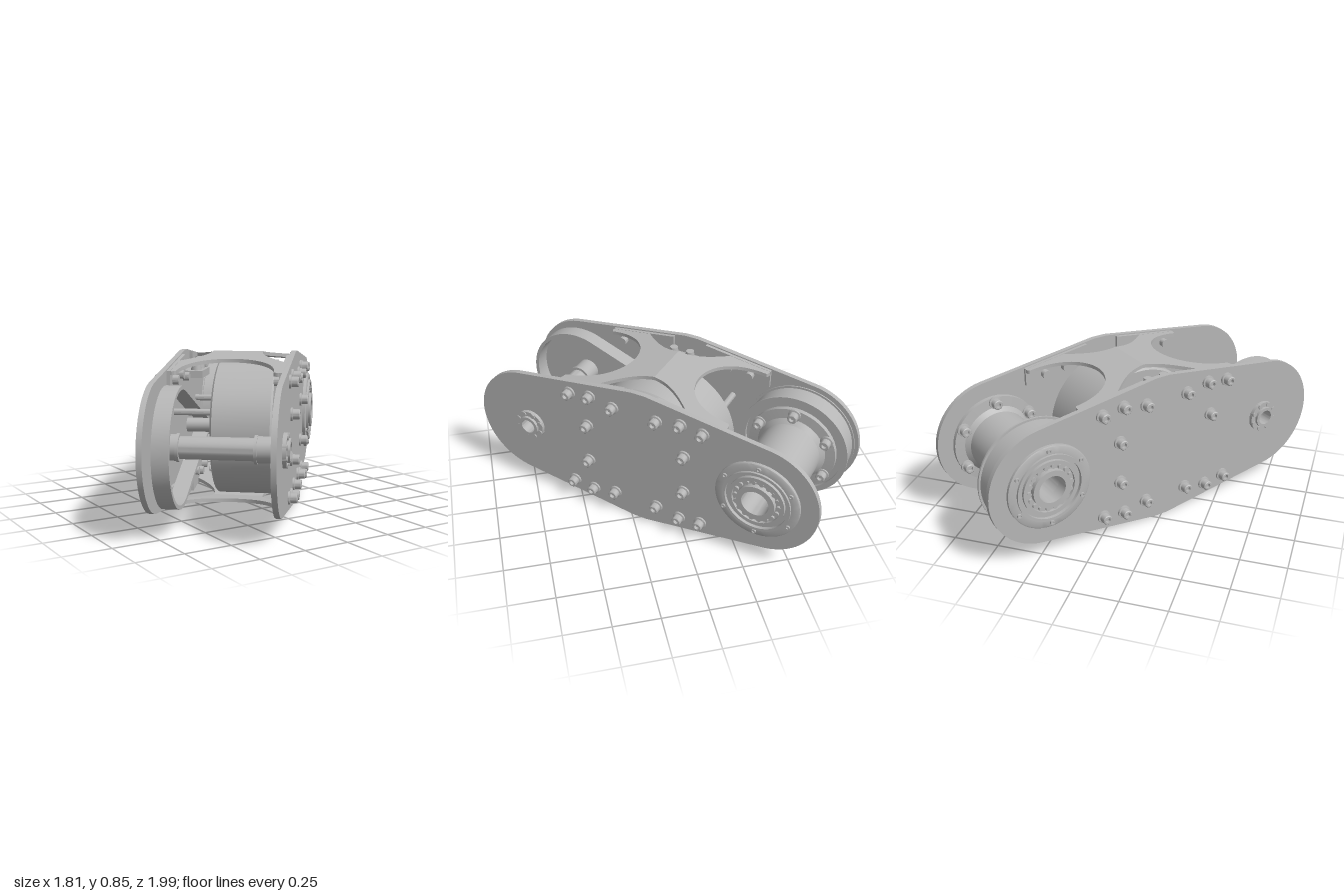
import * as THREE from 'three';
import { toCreasedNormals } from 'three/addons/utils/BufferGeometryUtils.js';

// Local frame: x runs along the arm, y is up from mid height, z runs across it.
const MID = 0.425, AXLE = 0.694, OUT = 0.325, THICK = 0.028;

export function createModel() {
  const metal = new THREE.MeshStandardMaterial({ color: 0xb6b6b6 });
  metal.name = 'satin grey metal';

  const add = (parent, name, geo, x = 0, y = 0, z = 0) => {
    const m = new THREE.Mesh(geo, metal);
    m.name = name;
    m.position.set(x, y, z);
    parent.add(m);
    return m;
  };
  // Turned part around the z axis; profile of [radius, z], counterclockwise
  const turned = (pts, seg = 48) => toCreasedNormals(
    new THREE.LatheGeometry(pts.map(p => new THREE.Vector2(...p)), seg).rotateX(Math.PI / 2), 0.6);
  const tube = (r0, r1, z0, z1, seg) =>
    turned([[r0, z0], [r1, z0], [r1, z1], [r0, z1], [r0, z0]], seg);
  const rod = (r, z0, z1, seg = 20) => turned([[0, z0], [r, z0], [r, z1], [0, z1]], seg);
  const extrude = (shape, depth) => toCreasedNormals(
    new THREE.ExtrudeGeometry(shape, { depth, bevelEnabled: false, curveSegments: 32 }), 0.5);
  const around = (n, r, start, fn) => {
    for (let i = 0; i < n; i++) {
      const a = start + i * Math.PI * 2 / n;
      fn(Math.cos(a) * r, Math.sin(a) * r);
    }
  };

  const body = new THREE.Group();
  body.name = 'arm';
  body.position.y = MID;
  body.rotation.y = THREE.MathUtils.degToRad(50);

  // Side plate outline: shallow peak in the middle, round ends
  const outline = new THREE.Shape();
  const a = THREE.MathUtils.degToRad(82);
  outline.moveTo(-0.04, -MID);
  outline.lineTo(0.04, -MID);
  outline.absarc(AXLE, 0, 0.33, -a, a, false);
  outline.lineTo(0.04, MID);
  outline.lineTo(-0.04, MID);
  outline.absarc(-AXLE, 0, 0.33, Math.PI - a, Math.PI + a, false);
  const bore = (x, r) => outline.holes.push(new THREE.Path().absarc(x, 0, r, 0, Math.PI * 2, true));
  bore(AXLE, 0.15);
  bore(-AXLE, 0.05);
  const plateGeo = extrude(outline, THICK);

  // Socket-head bolt with washer
  const boltGeo = turned([[0, 0], [0.036, 0], [0.036, 0.01], [0.027, 0.012], [0.027, 0.044],
    [0.023, 0.048], [0.014, 0.048], [0.014, 0.03], [0, 0.03]], 18);
  const smallBoltGeo = turned([[0, 0], [0.013, 0], [0.013, 0.01], [0.007, 0.01], [0.007, 0.004], [0, 0.004]], 12);
  const nutGeo = rod(0.024, -0.05, 0, 16);
  const standoffGeo = rod(0.018, -0.2, 0, 16);

  // Axle bearing pieces
  const flangeGeo = turned([[0.155, 0], [0.233, 0], [0.233, 0.016], [0.226, 0.02], [0.188, 0.02],
    [0.188, 0.032], [0.172, 0.032], [0.172, 0.014], [0.155, 0.014], [0.155, 0]], 64);
  const outerRaceGeo = tube(0.134, 0.155, -THICK, 0.03);
  const innerRaceGeo = tube(0.075, 0.106, -THICK, 0.042);
  const cageGeo = tube(0.106, 0.134, -THICK, 0.014);
  const rollerGeo = rod(0.0125, 0, 0.026, 12);
  const hubGeo = turned([[0.042, -THICK], [0.05, -THICK], [0.05, 0], [0.088, 0], [0.088, 0.02],
    [0.06, 0.02], [0.06, 0.036], [0.042, 0.036], [0.042, -THICK]], 40);
  const notchGeo = rod(0.014, 0, 0.026, 12);

  // Bolting tab under each brace arm
  const tab = new THREE.Shape();
  tab.moveTo(0.1, 0.41);
  tab.lineTo(0.1, 0.33);
  tab.quadraticCurveTo(0.13, 0.26, 0.2, 0.275);
  tab.lineTo(0.49, 0.255);
  tab.lineTo(0.49, 0.355);
  tab.closePath();
  const tabGeo = extrude(tab, 0.018);

  for (const back of [false, true]) {
    const side = new THREE.Group();
    side.name = back ? 'backSide' : 'frontSide';
    if (back) side.rotation.x = Math.PI;
    body.add(side);
    add(side, 'sidePlate', plateGeo, 0, 0, OUT - THICK);

    // Bolt rows along the top and bottom, and four standoff bolts
    const bolt = (x, y, inner) => {
      add(side, 'bolt', boltGeo, x, y, OUT);
      add(side, inner === standoffGeo ? 'standoff' : 'nut', inner, x, y, OUT - THICK);
    };
    for (const sx of [-1, 1]) for (const sy of [-1, 1]) {
      for (const [x, y] of [[0.397, 0.303], [0.27, 0.318], [0.13, 0.292]]) bolt(sx * x - 0.022, sy * y, nutGeo);
      if (!(back && sx < 0 && sy > 0)) bolt(sx * 0.293 - 0.022, sy * 0.12, standoffGeo);
      const t = add(side, 'braceTab', tabGeo, 0, 0, OUT - THICK - (sx * sy > 0 ? 0.018 : 0));
      // Half turns keep the faces pointing outward
      if (sx > 0 && sy < 0) t.rotation.x = Math.PI;
      if (sx < 0 && sy > 0) t.rotation.y = Math.PI;
      if (sx < 0 && sy < 0) t.rotation.z = Math.PI;
    }

    // Large bearing
    const bearing = new THREE.Group();
    bearing.name = 'axleBearing';
    bearing.position.set(AXLE, 0, OUT);
    side.add(bearing);
    add(bearing, 'flange', flangeGeo);
    add(bearing, 'outerRace', outerRaceGeo);
    add(bearing, 'innerRace', innerRaceGeo);
    add(bearing, 'cage', cageGeo);
    around(18, 0.12, 0, (x, y) => add(bearing, 'roller', rollerGeo, x, y));
    around(6, 0.208, Math.PI / 2, (x, y) => add(bearing, 'flangeBolt', smallBoltGeo, x, y, 0.019));

    // Small shaft hub
    add(side, 'shaftHub', hubGeo, -AXLE, 0, OUT);
    around(8, 0.075, Math.PI / 8, (x, y) => add(side, 'hubBolt', notchGeo, x - AXLE, y, OUT));
  }

  // Hollow drum between the bearings, with bolted flanges
  add(body, 'drum', turned([[0.075, -0.3], [0.11, -0.3], [0.11, -0.17], [0.25, -0.17], [0.25, -0.145],
    [0.195, -0.14], [0.172, -0.115], [0.172, 0.225], [0.195, 0.25], [0.25, 0.255], [0.25, 0.28],
    [0.11, 0.28], [0.11, 0.3], [0.075, 0.3], [0.075, -0.3]], 56), AXLE);
  around(6, 0.222, Math.PI / 2, (x, y) => {
    add(body, 'drumBolt', boltGeo, AXLE + x, y, -0.145);
    add(body, 'drumBolt', boltGeo, AXLE + x, y, 0.255).rotation.y = Math.PI;
  });

  // Belt pulley with thin lips and a recessed face
  add(body, 'pulley', turned([[0.1, -0.285], [0.312, -0.285], [0.312, -0.278], [0.3, -0.278],
    [0.3, -0.172], [0.312, -0.172], [0.312, -0.162], [0.28, -0.162], [0.28, -0.18],
    [0.1, -0.18], [0.1, -0.285]], 64), AXLE);

  // Cross shaft with collars
  add(body, 'crossShaft', turned([[0.042, -0.3], [0.066, -0.3], [0.066, -0.2], [0.072, -0.2], [0.072, -0.185],
    [0.057, -0.185], [0.057, 0.185], [0.072, 0.185], [0.072, 0.2], [0.066, 0.2], [0.066, 0.3],
    [0.042, 0.3], [0.042, -0.3]], 40), -AXLE);

  // Tapered belt loop from the wide end to the motor pinion
  const loop = (Type, R, r) => {
    const p = new Type(), t = Math.acos((R - r) / AXLE);
    p.absarc(-AXLE, 0, R, t, Math.PI * 2 - t, false);
    p.absarc(0, 0, r, -t, t, false);
    p.closePath();
    return p;
  };
  const belt = loop(THREE.Shape, 0.305, 0.06);
  belt.holes.push(loop(THREE.Path, 0.285, 0.04));
  add(body, 'belt', extrude(belt, 0.085), 0, 0, -0.26);

  // Disc motor
  add(body, 'motor', turned([[0, -0.1], [0.365, -0.1], [0.375, -0.09], [0.375, 0.22], [0.365, 0.23], [0, 0.23]], 72));
  add(body, 'motorPinion', rod(0.04, -0.29, -0.1));

  // Cross-shaped brace: two flat halves tilted along the plate edges
  const half = new THREE.Shape();
  half.moveTo(0, -0.14);
  half.bezierCurveTo(0.1, -0.14, 0.17, -0.2, 0.27, -0.297);
  half.lineTo(0.475, -0.297);
  half.quadraticCurveTo(0.5, -0.275, 0.48, -0.25);
  half.bezierCurveTo(0.1, -0.25, 0.1, 0.25, 0.48, 0.25);
  half.quadraticCurveTo(0.5, 0.275, 0.475, 0.297);
  half.lineTo(0.27, 0.297);
  half.bezierCurveTo(0.17, 0.2, 0.1, 0.14, 0, 0.14);
  half.closePath();
  const braceGeo = extrude(half, 0.02).rotateX(Math.PI / 2);
  braceGeo.applyMatrix4(new THREE.Matrix4().set(1, 0, 0, 0, -0.139, 1, 0, 0, 0, 0, 1, 0, 0, 0, 0, 1));
  for (const under of [false, true]) {
    const brace = new THREE.Group();
    brace.name = under ? 'bottomBrace' : 'topBrace';
    if (under) brace.rotation.x = Math.PI;
    body.add(brace);
    add(brace, 'braceHalf', braceGeo, 0, MID - 0.003);
    add(brace, 'braceHalf', braceGeo, 0, MID - 0.003).rotation.y = Math.PI;
  }

  // Cable terminals beside the motor
  add(body, 'terminalBlock', new THREE.BoxGeometry(0.22, 0.04, 0.11), -0.02, 0.3, -0.235);
  for (const x of [-0.07, 0.03]) {
    add(body, 'terminal', new THREE.CylinderGeometry(0.022, 0.03, 0.07, 20), x, 0.35, -0.225);
  }

  const model = new THREE.Group();
  model.name = 'trackArm';
  model.add(body);
  return model;
}
